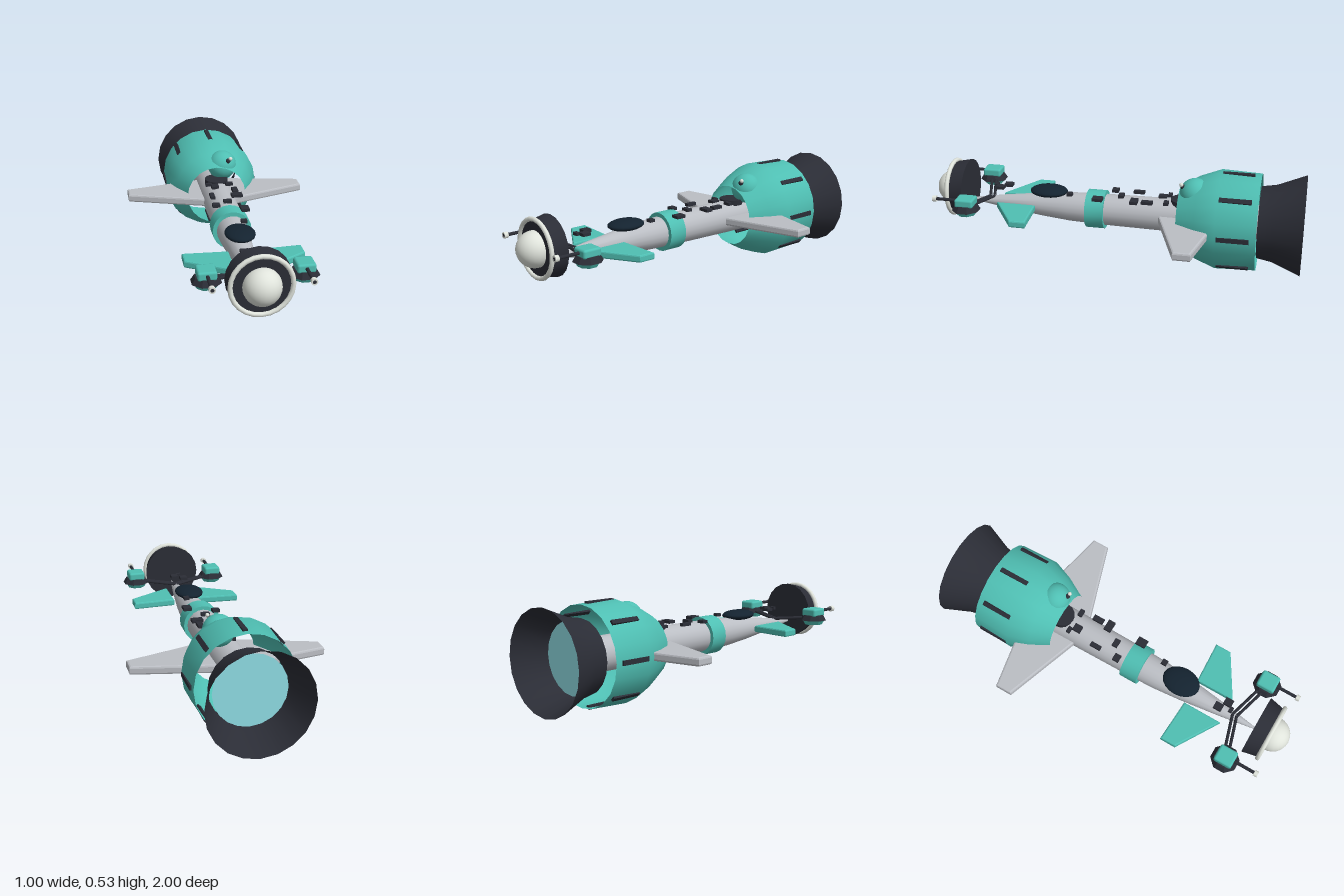
import * as THREE from 'three';
import { toCreasedNormals } from 'three/addons/utils/BufferGeometryUtils.js';
import { RoundedBoxGeometry } from 'three/addons/geometries/RoundedBoxGeometry.js';

const AXIS = 0.27; // height of the fuselage axis

const mat = (color, side = THREE.FrontSide) =>
  new THREE.MeshStandardMaterial({ color, side });
const teal = mat(0x4fbfb3);
const tealThin = mat(0x4fbfb3, THREE.DoubleSide);
const dark = mat(0x2b2d36);
const darkThin = mat(0x2b2d36, THREE.DoubleSide);
const grey = mat(0xbbbec4);
const pale = mat(0xe0e4dc);
const navy = mat(0x142330);
const glow = mat(0x8fdde4, THREE.DoubleSide);

export function createModel() {
  const model = new THREE.Group();

  function add(name, geometry, material, x = 0, y = 0, z = 0, parent = model) {
    const mesh = new THREE.Mesh(geometry, material);
    mesh.name = name;
    mesh.position.set(x, y, z);
    parent.add(mesh);
    return mesh;
  }

  // Turned part along z; profile is [radius, z] from back to front
  function turned(profile, crease = 0.6) {
    const pts = profile.map(([r, z]) => new THREE.Vector2(r, z));
    return toCreasedNormals(new THREE.LatheGeometry(pts, 20).rotateX(Math.PI / 2), crease);
  }

  // Flat plate from [x, z] corners, with a bevelled edge
  function plate(corners, thickness, bevel) {
    const shape = new THREE.Shape(corners.map(([x, z]) => new THREE.Vector2(x, -z)));
    const geo = new THREE.ExtrudeGeometry(shape, {
      depth: thickness - 2 * bevel, bevelEnabled: true, bevelThickness: bevel,
      bevelSize: bevel, bevelOffset: -bevel, bevelSegments: 2,
    });
    return geo.rotateX(-Math.PI / 2).translate(0, bevel - thickness / 2, 0);
  }

  // Round bar between two points
  function bar(name, a, b, radius, material, parent) {
    const curve = new THREE.LineCurve3(new THREE.Vector3(...a), new THREE.Vector3(...b));
    return add(name, new THREE.TubeGeometry(curve, 1, radius, 8), material, 0, 0, 0, parent);
  }

  // Fuselage with needle nose
  add('fuselage', turned([[0, -0.8], [0.09, -0.8], [0.09, -0.35], [0.084, 0.1],
    [0.078, 0.25], [0.064, 0.4], [0.036, 0.62], [0.005, 0.82], [0, 0.82]]), grey, 0, AXIS);
  add('collar', turned([[0.084, 0.05], [0.104, 0.05], [0.104, 0.15], [0.08, 0.15]]), teal, 0, AXIS);
  add('canopy', new THREE.SphereGeometry(1, 20, 14).scale(0.078, 0.028, 0.103), navy, 0, 0.353, 0.367);

  // Engine shell, open at both ends, with nozzle and glowing disc
  add('engineShell', turned([[0.256, -0.77], [0.264, -0.56], [0.222, -0.45], [0.167, -0.35]], 0.9),
    tealThin, 0, AXIS);
  add('nozzle', turned([[0.265, -1], [0.204, -0.85], [0.19, -0.77]], 0.9), darkThin, 0, AXIS);
  add('engineGlow', new THREE.CircleGeometry(0.185, 20), glow, 0, AXIS, -0.83);

  // Eight vents around the shell
  for (let i = 0; i < 8; i++) {
    const a = (i * Math.PI) / 4;
    const vent = add('vent', new THREE.BoxGeometry(0.024, 0.018, 0.165), dark,
      Math.sin(a) * 0.257, AXIS + Math.cos(a) * 0.257, -0.653);
    vent.rotation.z = -a;
  }

  // Dome at the front of the shell, with eye, antenna and socket
  add('dome', new THREE.SphereGeometry(0.082, 20, 14), teal, 0.045, 0.422, -0.435);
  add('domeEye', new THREE.SphereGeometry(0.014, 10, 8), dark, 0.07, 0.465, -0.372);
  bar('antenna', [0.078, 0.46, -0.385], [0.083, 0.48, -0.365], 0.004, dark, model);
  add('antennaTip', new THREE.SphereGeometry(0.011, 10, 8), pale, 0.083, 0.48, -0.365);
  add('domeSocket', new THREE.CylinderGeometry(0.065, 0.065, 0.03, 16), dark, 0, 0.352, -0.365);

  // Small hull boxes: x, z, width, length
  const details = [
    [-0.025, -0.255, 0.04, 0.045], [0.06, -0.285, 0.04, 0.025], [-0.055, -0.29, 0.035, 0.02],
    [0.075, -0.185, 0.03, 0.06], [0.073, -0.115, 0.06, 0.04], [-0.062, -0.12, 0.024, 0.06],
    [0.008, -0.035, 0.045, 0.03], [-0.062, 0.01, 0.04, 0.035], [0.08, 0.08, 0.045, 0.055],
    [0.045, 0.24, 0.03, 0.03], [-0.022, 0.6, 0.04, 0.045], [0.024, 0.635, 0.04, 0.045],
    [-0.005, 0.665, 0.03, 0.02],
  ];
  for (const [x, z, w, l] of details)
    add('hullDetail', new THREE.BoxGeometry(w, 0.016, l), dark, x, 0.361, z);

  // Nose drum with rim and round lamp
  add('noseDrum', turned([[0, 0.815], [0.158, 0.815], [0.14, 0.9], [0, 0.9]]), dark, 0, 0.333);
  add('noseRim', new THREE.TorusGeometry(0.147, 0.012, 10, 24), pale, 0, 0.333, 0.902);
  add('noseLamp', new THREE.SphereGeometry(0.092, 24, 16), pale, 0, 0.333, 0.908);

  // Octagonal block with chamfered corners, flared between bottom and top
  function octagonBlock(bottom, top, height) {
    const geo = new THREE.CylinderGeometry(top, bottom, height, 8);
    geo.rotateY(Math.PI / 8);
    return toCreasedNormals(geo, 0.4);
  }

  for (const s of [1, -1]) {
    const flip = (pts) => pts.map(([x, z]) => [s * x, z]);

    // Main wing and canard
    add('wing', plate(flip([[0.05, -0.235], [0.5, -0.385], [0.5, -0.475], [0.05, -0.565]]), 0.044, 0.01),
      grey, 0, AXIS);
    add('canard', plate(flip([[0.07, 0.645], [0.303, 0.505], [0.303, 0.418], [0.07, 0.43]]), 0.038, 0.008),
      teal, 0, AXIS + 0.002);

    // Gun pod
    const pod = new THREE.Group();
    pod.name = 'gunPod';
    pod.position.set(s * 0.233, 0, 0.76);
    model.add(pod);
    add('podCap', new RoundedBoxGeometry(0.092, 0.046, 0.1, 2, 0.012), teal, 0, 0.35, 0, pod);
    add('podSkirt', octagonBlock(0.076, 0.058, 0.03), dark, 0, 0.32, 0, pod);
    add('podBase', octagonBlock(0.05, 0.066, 0.026), teal, 0, 0.293, 0, pod);
    bar('barrel', [0, 0.352, 0.03], [0, 0.352, 0.165], 0.009, dark, pod);
    add('muzzle', turned([[0.008, 0.163], [0.016, 0.163], [0.016, 0.184], [0.009, 0.184]]),
      pale, 0, 0.352, 0, pod);
    add('muzzleBore', new THREE.CircleGeometry(0.01, 12), dark, 0, 0.352, 0.183, pod);

    // Twin struts from nose to pod
    for (const dz of [-0.012, 0.012])
      bar('strut', [0, 0.295, 0.692 + dz], [s * 0.19, 0.315, 0.748 + dz], 0.008, dark, model);
  }

  return model;
}
